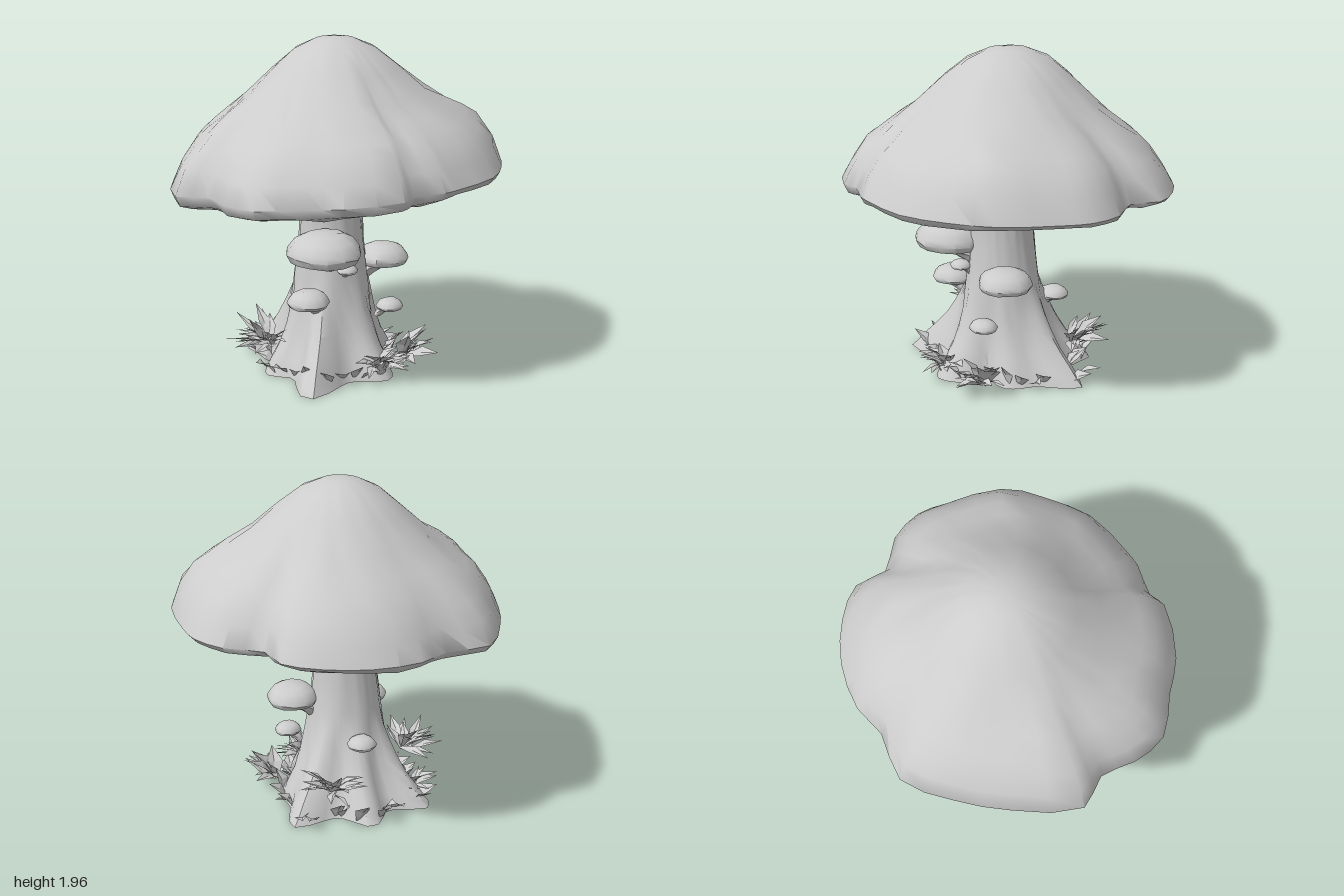
import * as THREE from 'three';
import { toCreasedNormals, mergeGeometries } from 'three/addons/utils/BufferGeometryUtils.js';

let seed = 7;
const rnd = () => { seed = (seed * 16807) % 2147483647; return seed / 2147483647; };
const jit = a => (rnd() - 0.5) * 2 * a;

// Skin closed rings of n points, listed from the top downwards
function loft(rows, n, point, crease = 0.8) {
  const pos = [], idx = [];
  for (let i = 0; i < rows; i++) for (let j = 0; j < n; j++) pos.push(...point(i, j));
  for (let i = 0; i < rows - 1; i++) for (let j = 0; j < n; j++) {
    const k = (j + 1) % n, a = i * n + j, b = i * n + k, c = a + n, d = b + n;
    idx.push(a, b, c, b, d, c);
  }
  const g = new THREE.BufferGeometry();
  g.setAttribute('position', new THREE.Float32BufferAttribute(pos, 3));
  g.setIndex(idx);
  return toCreasedNormals(g, crease);
}

// Piecewise linear lookup in [x, y] pairs
function lerpTable(t, x) {
  for (let i = 1; i < t.length; i++) if (x <= t[i][0]) {
    const [x0, y0] = t[i - 1], [x1, y1] = t[i];
    return y0 + (y1 - y0) * (x - x0) / (x1 - x0);
  }
  return t[t.length - 1][1];
}

// Irregular rim outline of the cap, in x and z
const RIM = [[0.05, -1], [0.22, -0.96], [0.53, -0.83], [0.72, -0.65], [0.88, -0.4], [0.92, -0.1], [0.92, 0.02],
  [0.87, 0.2], [0.9, 0.3], [0.76, 0.6], [0.6, 0.75], [0.42, 0.93], [0.2, 0.95], [0, 0.91], [-0.18, 1], [-0.52, 0.78],
  [-0.75, 0.55], [-0.93, 0.28], [-0.87, 0], [-0.9, -0.2], [-0.83, -0.48], [-0.68, -0.7], [-0.5, -0.83],
  [-0.32, -0.8], [-0.15, -0.95]];
// Cap section: share of rim radius, height, tilt towards the back, roughness
const CAP = [[0, 1.985, 0, 0], [0.12, 1.967, 0.02, 0], [0.25, 1.915, 0.03, 0.003], [0.4, 1.8, 0.03, 0.007],
  [0.55, 1.665, 0.03, 0.01], [0.68, 1.565, 0.03, 0.012], [0.78, 1.49, 0.03, 0.012], [0.86, 1.42, 0.03, 0.014],
  [0.94, 1.32, 0.03, 0.014], [1, 1.205, 0.03, 0], [0.975, 1.165, 0.045, 0.01], [0.9, 1.14, 0.055, 0.01],
  [0.78, 1.16, 0.055, 0.015], [0.6, 1.19, 0.045, 0.015], [0.38, 1.225, 0.03, 0.01], [0.1, 1.25, 0, 0]];
// Broad bulges and dents on the cap: x, z, height, size
const BULGES = [[0.45, -0.68, 0.055, 0.2], [-0.1, 0.75, 0.03, 0.25], [0.5, -0.05, -0.025, 0.2], [-0.3, -0.1, 0.02, 0.25],
  [-0.6, 0.35, 0.02, 0.2], [0.2, 0.55, -0.02, 0.15]];

function capGeometry() {
  const curve = new THREE.CatmullRomCurve3(RIM.map(([x, z]) => new THREE.Vector3(x, 0, z)), true, 'centripetal');
  const n = 50, rim = Array.from({ length: n }, (_, j) => curve.getPoint(j / n));
  return loft(CAP.length, n, (i, j) => {
    const [s, y, tilt, rough] = CAP[i], p = rim[j];
    const round = 0.93 / Math.hypot(p.x, p.z);
    const f = s * THREE.MathUtils.lerp(round, 1, THREE.MathUtils.smoothstep(s, 0.3, 0.95));
    const x = p.x * f, z = p.z * f;
    let lift = 0;
    if (i > 0 && i < 9) for (const [bx, bz, h, size] of BULGES)
      lift += h * Math.exp(-((x - bx) ** 2 + (z - bz) ** 2) / size ** 2);
    return [x, y + 0.03 * x - tilt * z + lift + jit(rough), z];
  }, 0.95);
}

// Stem: radius by height, with separate roots (angle, size) and a hollow at the back
const STEM = [[0.025, 0.38], [0.1, 0.35], [0.2, 0.305], [0.3, 0.27], [0.45, 0.235], [0.6, 0.215], [0.8, 0.19],
  [1, 0.18], [1.1, 0.185], [1.18, 0.21], [1.23, 0.26], [1.27, 0.36]];
const ROOTS = [[55, 0.27], [100, 0.1], [155, 0.21], [198, 0.15], [248, 0.19], [320, -0.1], [0, 0.08]];

function stemRadius(a, y) {
  const flare = Math.max(0, (0.6 - y) / 0.575) ** 1.4;
  return ROOTS.reduce((r, [deg, size]) => {
    const t = a - deg * Math.PI / 180, d = Math.atan2(Math.sin(t), Math.cos(t));
    return r + size * flare * Math.exp(-((d / 0.25) ** 2));
  }, lerpTable(STEM, y));
}

function stemGeometry() {
  const n = 48, heights = [1.27, 1.23, 1.18, 1.1, 1, 0.8, 0.6, 0.5, 0.4, 0.3, 0.2, 0.12, 0.07, 0.025, 0.025];
  return loft(heights.length, n, (i, j) => {
    const y = heights[i], a = j / n * Math.PI * 2;
    const r = i === heights.length - 1 ? 0 : stemRadius(a, y) + jit(0.006);
    return [0.01 + r * Math.cos(a), y, 0.035 * Math.min(1, y / 0.6) + r * Math.sin(a)];
  });
}

// Side mushroom: share of radius, height, shift back into the stem
const SHELF = [[0, 0.78, 0], [0.48, 0.76, 0], [0.78, 0.6, 0], [0.96, 0.36, 0], [1, 0.22, 0], [0.9, 0.04, 0],
  [0.65, 0, -0.1], [0.48, -0.08, -0.4], [0.38, -0.28, -0.7], [0.25, -0.6, -0.95]];
function shelfGeometry(radius) {
  const n = 14, wave = Array.from({ length: n }, () => 1.02 + jit(0.07));
  return loft(SHELF.length, n, (i, j) => {
    const [s, y, back] = SHELF[i], a = j / n * Math.PI * 2, r = s * radius * wave[j];
    return [r * Math.cos(a), y * radius + jit(i ? 0.025 * radius : 0), r * Math.sin(a) + back * radius];
  });
}

// Pointed, folded leaf growing along +z from the origin
function leaf(length, width, droop) {
  const g = new THREE.BufferGeometry(), m = length * 0.5;
  g.setAttribute('position', new THREE.Float32BufferAttribute([
    -width * 0.3, 0, 0, width * 0.3, 0, 0,
    -width, width * 0.35, m, 0, 0, m, width, width * 0.35, m,
    0, -droop, length], 3));
  g.setIndex([0, 2, 3, 0, 3, 1, 1, 3, 4, 2, 5, 3, 3, 5, 4]);
  const flat = g.toNonIndexed();
  flat.computeVertexNormals();
  return flat;
}

// Spray of leaves facing outwards at angle `out`
function tuftGeometry(count, length, width, out, spread) {
  const blades = [];
  for (let i = 0; i < count; i++) {
    const l = length * (0.75 + rnd() * 0.35);
    const g = leaf(l, width * (0.7 + rnd() * 0.6), l * 0.1);
    g.rotateZ(jit(0.6));
    g.rotateX(-(0.05 + rnd() * 1.05));
    g.rotateY(out + (i / (count - 1) - 0.5) * spread + jit(0.15));
    g.translate(jit(0.025), jit(0.015), jit(0.025));
    blades.push(g);
  }
  return mergeGeometries(blades);
}

export function createModel() {
  seed = 7;
  const model = new THREE.Group();
  const clay = new THREE.MeshStandardMaterial({ color: 0xcccccc, side: THREE.DoubleSide });
  clay.name = 'pale grey';
  const add = (name, geometry, x = 0, y = 0, z = 0) => {
    const mesh = new THREE.Mesh(geometry, clay);
    mesh.name = name;
    mesh.position.set(x, y, z);
    model.add(mesh);
    return mesh;
  };

  add('cap', capGeometry());
  add('stem', stemGeometry());

  // Side mushrooms: x, y of underside, z, radius
  [[0.22, 0.745, 0.265, 0.215], [0.18, 0.48, 0.35, 0.12], [0.16, 0.62, -0.25, 0.155],
    [-0.28, 0.43, -0.08, 0.085], [0.27, 0.37, -0.2, 0.08], [0.25, 0.65, 0.12, 0.06]].forEach(([x, y, z, r], i) => {
    const shelf = add('sideMushroom' + (i + 1), shelfGeometry(r), x, y, z);
    shelf.rotation.y = Math.atan2(x, z);
  });

  // Leaf tufts: x, y, z, leaf count, leaf length, leaf width, spread
  [[-0.1, 0.21, 0.43, 22, 0.24, 0.03, 3.8], [-0.28, 0.22, -0.3, 18, 0.21, 0.032, 3.2],
    [0.4, 0.1, 0.02, 14, 0.19, 0.038, 3.4], [0.32, 0.07, -0.27, 14, 0.21, 0.045, 2.8],
    [-0.34, 0.09, 0.26, 8, 0.16, 0.036, 2.6]].forEach(([x, y, z, n, l, w, spread], i) => {
    add('leafTuft' + (i + 1), tuftGeometry(n, l, w, Math.atan2(x, z), spread), x, y, z);
  });

  // Ring of short broad leaves following the foot of the stem
  const ground = [];
  for (let i = 0; i < 30; i++) {
    const a = i / 30 * Math.PI * 2 + jit(0.08), r = Math.min(0.47, stemRadius(a, 0.05) - 0.01);
    const g = leaf(0.11 + rnd() * 0.07, 0.045, 0.02);
    g.rotateZ(jit(0.5));
    g.rotateX(-(0.5 + rnd() * 0.8));
    g.rotateY(Math.PI / 2 - a + jit(0.6));
    g.translate(r * Math.cos(a), 0.03 + rnd() * 0.02, r * Math.sin(a));
    ground.push(g);
  }
  add('groundLeaves', mergeGeometries(ground));
  return model;
}
